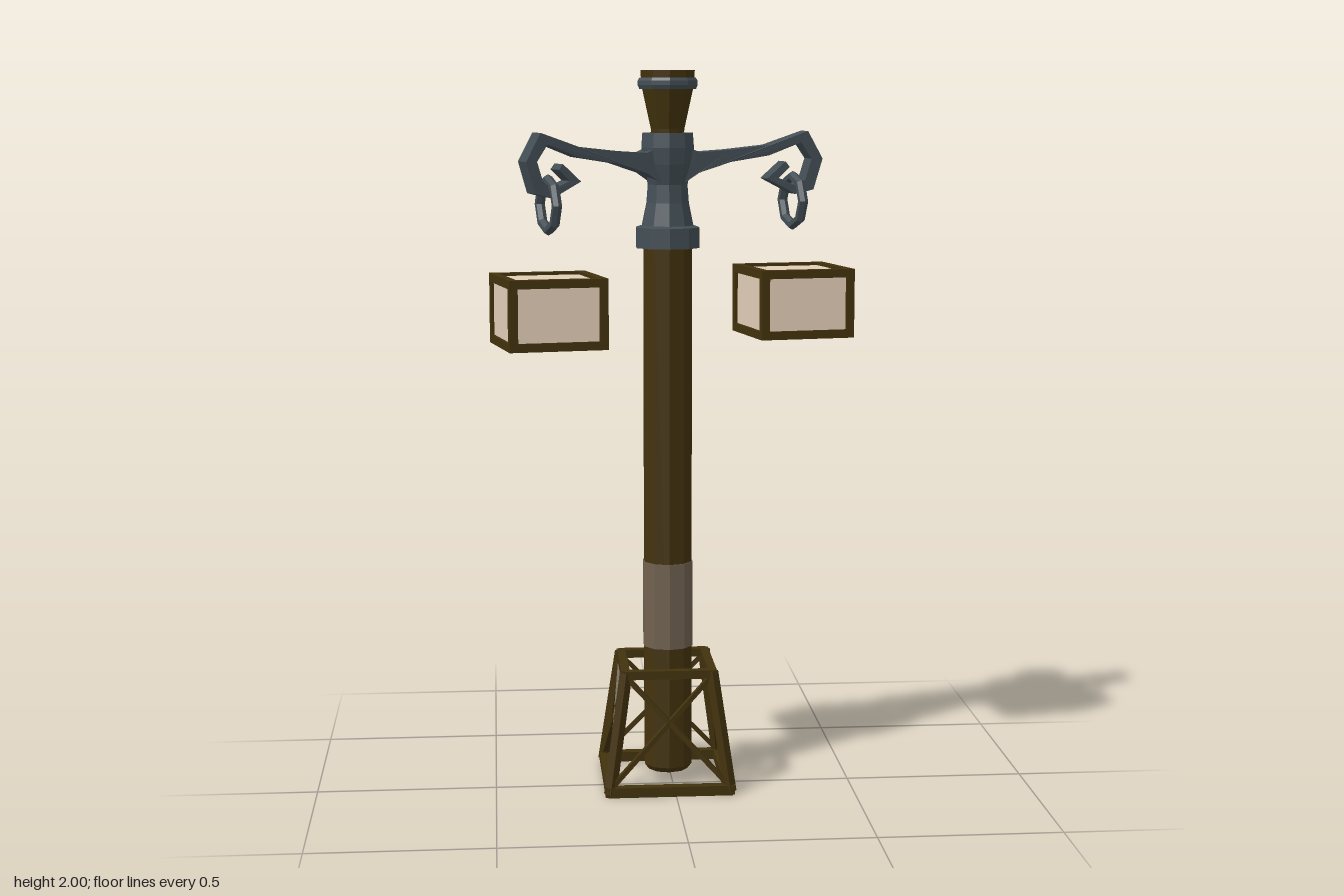
import * as THREE from 'three';

const material = (name, color) => {
  const m = new THREE.MeshStandardMaterial({ color, flatShading: true });
  m.name = name;
  return m;
};

export function createModel() {
  const wood = material('dark wood', 0x42320d);
  const iron = material('blue grey iron', 0x434e55);
  const paper = material('cream paper', 0xe2ceb8);
  const cloth = material('brown wrap', 0x706150);

  const model = new THREE.Group();
  model.name = 'lampPost';
  const add = (parent, name, geometry, mat, x = 0, y = 0, z = 0) => {
    const mesh = new THREE.Mesh(geometry, mat);
    mesh.name = name;
    mesh.position.set(x, y, z);
    parent.add(mesh);
    return mesh;
  };
  const group = (parent, name, x = 0, y = 0, z = 0, turn = 0) => {
    const g = new THREE.Group();
    g.name = name;
    g.position.set(x, y, z);
    g.rotation.y = THREE.MathUtils.degToRad(turn);
    parent.add(g);
    return g;
  };
  const lathe = (points, sides = 10) =>
    new THREE.LatheGeometry(points.map(p => new THREE.Vector2(...p)), sides);
  // square beam between two points in the parent's frame
  const up = new THREE.Vector3(0, 1, 0);
  const beam = (parent, name, a, b, size, mat) => {
    const from = new THREE.Vector3(...a), to = new THREE.Vector3(...b);
    const mesh = add(parent, name, new THREE.BoxGeometry(size, size, from.distanceTo(to) + size * 0.5), mat);
    mesh.position.copy(from).add(to).multiplyScalar(0.5);
    mesh.quaternion.setFromRotationMatrix(new THREE.Matrix4().lookAt(to, from, up));
  };

  // Pole with bevelled foot, cloth wrap and flared head
  const post = group(model, 'post', -0.011, 0, -0.045);
  add(post, 'pole', lathe([[0, 0.035], [0.058, 0.035], [0.069, 0.05], [0.069, 1.56], [0, 1.56]]), wood);
  add(post, 'wrap', lathe([[0.068, 0.395], [0.0715, 0.395], [0.0715, 0.638], [0.068, 0.638]]), cloth);
  add(post, 'poleHead', lathe([[0.045, 1.8], [0.047, 1.84], [0.074, 1.96], [0.076, 1.998], [0, 1.998]]), wood);
  add(post, 'headBand', lathe([[0.066, 1.947], [0.079, 1.947], [0.084, 1.958], [0.084, 1.97], [0.079, 1.978], [0.07, 1.978]]), iron);
  add(post, 'capPlate',
    new THREE.CylinderGeometry(0.075, 0.075, 0.004, 8, 1, false, Math.PI * 0.72, Math.PI * 0.78), iron, 0, 1.998, 0);

  // Iron sleeve holding the arms
  add(post, 'sleeve', lathe([
    [0.066, 1.517], [0.09, 1.517], [0.09, 1.573], [0.073, 1.578], [0.06, 1.64], [0.056, 1.69],
    [0.069, 1.745], [0.074, 1.79], [0.071, 1.83], [0.044, 1.83],
  ]), iron);

  // Curved arm ending in a hook, with a hanging ring
  const outline = [
    [0.03, 1.8], [0.08, 1.777], [0.17, 1.783], [0.282, 1.795], [0.395, 1.833], [0.438, 1.757],
    [0.412, 1.672], [0.36, 1.66], [0.277, 1.703], [0.33, 1.75], [0.342, 1.735], [0.31, 1.705],
    [0.355, 1.686], [0.388, 1.7], [0.406, 1.757], [0.375, 1.802], [0.282, 1.767], [0.17, 1.75],
    [0.08, 1.722], [0.03, 1.69],
  ];
  const armShape = new THREE.Shape(outline.map(p => new THREE.Vector2(...p)));
  const makeArm = (name, turn, stretch, ringTurn) => {
    const arm = group(post, name, 0, 0, 0, turn);
    const geometry = new THREE.ExtrudeGeometry(armShape, { depth: 1, bevelEnabled: false });
    const pos = geometry.attributes.position;
    for (let i = 0; i < pos.count; i++) {
      const taper = THREE.MathUtils.clamp((0.3 - pos.getX(i)) / 0.25, 0, 1);
      pos.setX(i, pos.getX(i) * stretch);
      pos.setZ(i, (pos.getZ(i) - 0.5) * (0.062 + 0.018 * taper));
    }
    geometry.computeVertexNormals();
    add(arm, 'hookArm', geometry, iron);
    const ring = add(arm, 'hangingRing', new THREE.TorusGeometry(0.068, 0.014, 6, 8), iron, 0.362 * stretch, 1.641, 0);
    ring.rotation.y = Math.PI / 2 + ringTurn;
  };
  makeArm('leftArm', 11, 1, 0.11);
  makeArm('rightArm', 200, 0.97, -0.03);

  // Box lanterns: paper core in a wooden frame
  const makeLantern = (name, x, y, z) => {
    const lantern = group(model, name, x, y, z, 11.2);
    const w = 0.268, h = 0.19, t = 0.023;
    add(lantern, 'paperBox', new THREE.BoxGeometry(w - 0.016, h - 0.016, w - 0.016), paper);
    const a = (w - t) / 2, b = (h - t) / 2;
    for (const s of [-1, 1]) {
      for (const q of [-1, 1]) {
        add(lantern, 'frameRailX', new THREE.BoxGeometry(w - 2 * t, t, t), wood, 0, s * b, q * a);
        add(lantern, 'frameRailZ', new THREE.BoxGeometry(t, t, w - 2 * t), wood, s * a, q * b, 0);
        add(lantern, 'framePost', new THREE.BoxGeometry(t, h, t), wood, s * a, 0, q * a);
      }
    }
  };
  makeLantern('leftLantern', 0.344, 1.364, -0.095);
  makeLantern('rightLantern', -0.344, 1.358, 0.09);

  // Tapered trestle base with crossed braces on each side
  const base = group(model, 'base', -0.016, 0, -0.057);
  const low = 0.167, high = 0.121, top = 0.336;
  for (let i = 0; i < 4; i++) {
    const side = group(base, 'baseSide', 0, 0, 0, i * 90);
    beam(side, 'bottomRail', [-low, 0.014, low], [low, 0.014, low], 0.028, wood);
    beam(side, 'topRail', [-high, top, high], [high, top, high], 0.024, wood);
    beam(side, 'cornerLeg', [-low, 0.014, low], [-high, top, high], 0.025, wood);
    for (const s of [-1, 1])
      beam(side, 'crossBrace', [-s * low * 0.96, 0.03, low], [s * high * 0.96, top - 0.01, high], 0.013, wood);
  }
  return model;
}
